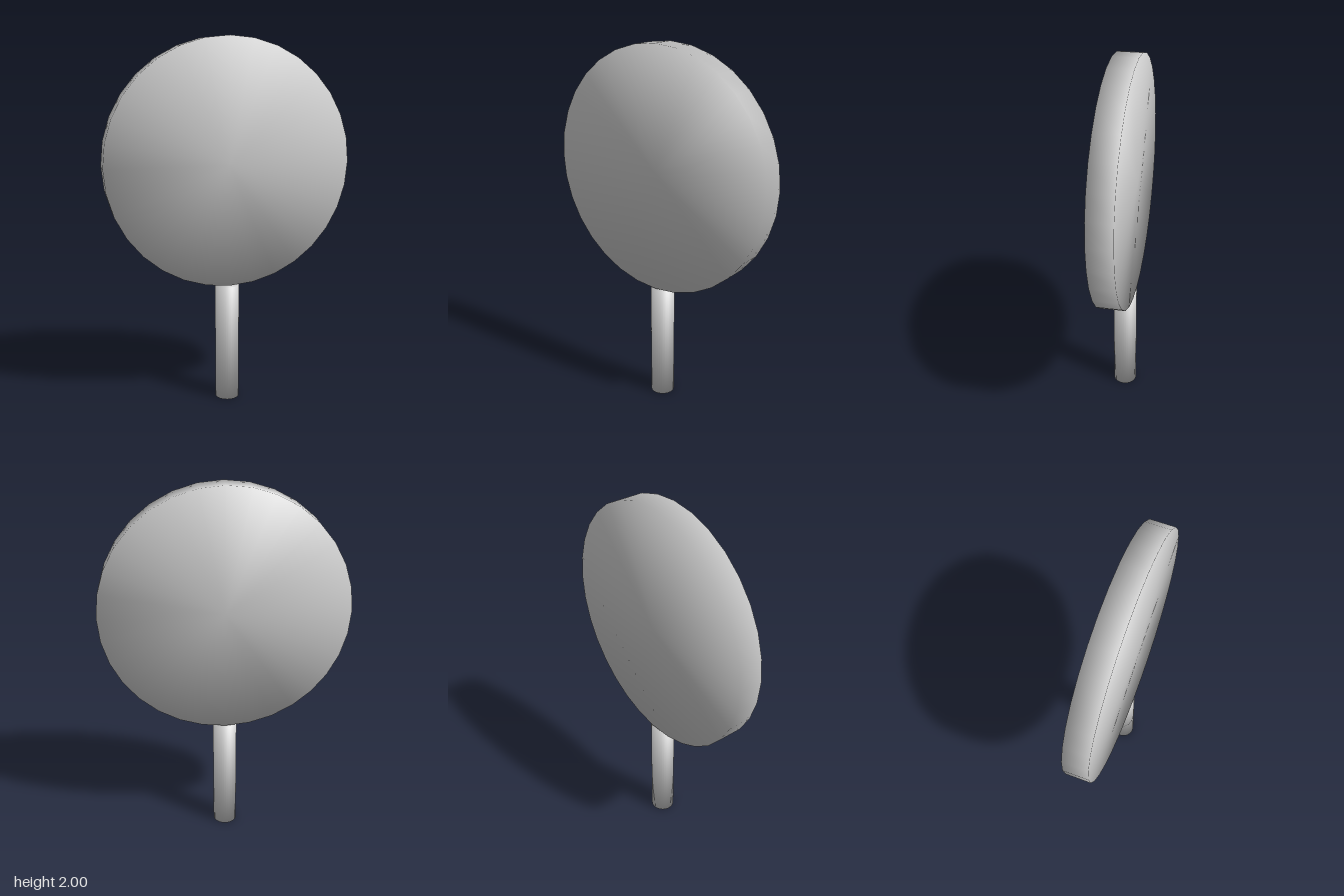
import * as THREE from 'three';

const R = 0.6623; // disc radius, also the handle length
const T = 0.0662; // half the disc thickness, also the handle radius
const SIDES = 32;

// Cylinder whose normals blend softly from the side into both caps
function softCylinder(radius, height) {
  const geometry = new THREE.CylinderGeometry(radius, radius, height, SIDES);
  const position = geometry.attributes.position;
  const normal = new THREE.Vector3();
  for (let i = 0; i < position.count; i++) {
    normal.set(position.getX(i) / radius, Math.sign(position.getY(i)), position.getZ(i) / radius).normalize();
    geometry.attributes.normal.setXYZ(i, normal.x, normal.y, normal.z);
  }
  return geometry;
}

export function createModel() {
  const group = new THREE.Group();
  group.name = 'discOnHandle';
  const material = new THREE.MeshStandardMaterial({ color: 0xcccccc });

  // Upright disc facing the front
  const disc = new THREE.Mesh(softCylinder(R, 2 * T).rotateX(Math.PI / 2), material);
  disc.name = 'disc';
  disc.position.y = 2 - R;

  // Handle, ending just below the disc
  const handle = new THREE.Mesh(softCylinder(T, R), material);
  handle.name = 'handle';
  handle.position.y = R / 2;

  group.add(disc, handle);
  return group;
}
